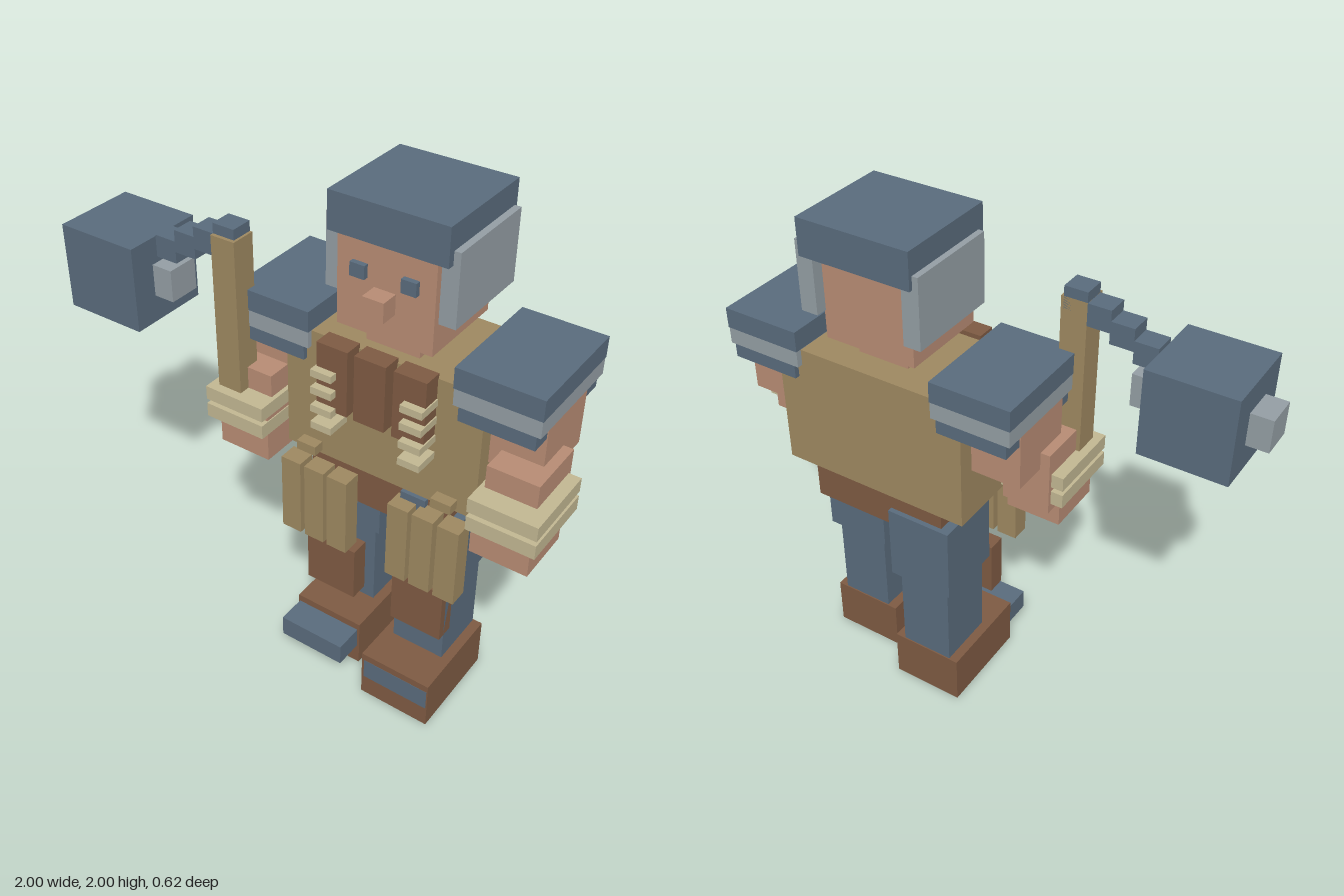
import * as THREE from 'three';

const mat = (name, color) => {
  const m = new THREE.MeshStandardMaterial({ color });
  m.name = name;
  return m;
};

export function createModel() {
  const steel = mat('blue steel', 0x5a6c7d);
  const silver = mat('light steel', 0x959fa5);
  const skin = mat('skin', 0xb98d75);
  const tan = mat('tan cloth', 0x9f8961);
  const leather = mat('brown leather', 0x7f5b43);
  const cream = mat('cream wrap', 0xc3b893);
  const model = new THREE.Group();
  model.name = 'blockWarrior';

  // Axis-aligned block given by its ranges on x, y and z
  const block = (name, m, [x0, x1], [y0, y1], [z0, z1]) => {
    const mesh = new THREE.Mesh(new THREE.BoxGeometry(x1 - x0, y1 - y0, z1 - z0), m);
    mesh.position.set((x0 + x1) / 2, (y0 + y1) / 2, (z0 + z1) / 2);
    mesh.name = name;
    model.add(mesh);
  };

  // The body's mirror plane lies at x = MID because the flail reaches out to one side
  const MID = 0.325;
  const pair = (name, m, [x0, x1], y, z, rightShift = 0) => {
    block('left' + name, m, [x0, x1], y, z);
    block('right' + name, m, [2 * MID - x1, 2 * MID - x0], y, z.map(v => v + rightShift));
  };

  // Head and helmet
  block('head', skin, [0.14, 0.51], [1.53, 1.91], [-0.25, 0.11]);
  block('neck', skin, [0.22, 0.43], [1.44, 1.55], [-0.18, 0.05]);
  block('nose', skin, [0.283, 0.365], [1.635, 1.71], [0.1, 0.18]);
  pair('Eye', steel, [0.393, 0.45], [1.735, 1.785], [0.1, 0.13]);
  block('helmet', steel, [0.1, 0.548], [1.86, 2], [-0.31, 0.112]);
  pair('EarFlap', silver, [0.505, 0.573], [1.64, 1.91], [-0.295, 0.085]);

  // Torso, vest and ribs
  block('torso', tan, [-0.065, 0.715], [0.955, 1.462], [-0.285, 0.115]);
  block('pelvis', leather, [0.04, 0.61], [0.8, 0.956], [-0.265, 0.11]);
  block('vestCentre', leather, [0.262, 0.385], [1.22, 1.48], [0.11, 0.185]);
  pair('VestStrap', leather, [0.415, 0.54], [1.22, 1.48], [0.11, 0.185]);
  for (const y of [1.37, 1.3, 1.225, 1.155]) {
    pair('VestClasp', cream, [0.46, 0.545], [y - 0.014, y + 0.014], [0.11, 0.215]);
  }

  // Belt pouches hanging in front of the hips
  for (const x of [0.412, 0.512, 0.614]) {
    pair('Pouch', tan, [x, x + 0.084], [0.6, 0.925], [0.11, 0.185]);
  }
  pair('PouchBuckle', tan, [0.565, 0.645], [0.97, 1.008], [0.1, 0.16]);
  pair('HipJoint', steel, [0.43, 0.53], [0.85, 0.954], [0.03, 0.13], -0.115);

  // Arms and stacked shoulder plates
  pair('UpperArm', skin, [0.712, 0.912], [1.165, 1.42], [-0.22, 0.055]);
  pair('Forearm', skin, [0.76, 0.95], [0.98, 1.235], [-0.085, 0.155]);
  pair('Hand', skin, [0.747, 0.965], [0.895, 1.09], [-0.03, 0.2]);
  for (const y of [1.015, 1.09]) {
    pair('Bracer', cream, [0.743, 0.997], [y, y + 0.056], [-0.07, 0.237]);
  }
  pair('ShoulderTop', steel, [0.608, 0.925], [1.465, 1.545], [-0.31, 0.138]);
  pair('ShoulderBand', silver, [0.61, 0.923], [1.4, 1.465], [-0.308, 0.136]);
  pair('ShoulderBase', steel, [0.63, 0.908], [1.345, 1.4], [-0.305, 0.134]);

  // Legs: the right one is a step behind the left
  const STEP = -0.115;
  pair('Thigh', steel, [0.385, 0.65], [0.57, 0.88], [-0.17, 0.11], STEP);
  pair('Shin', steel, [0.41, 0.625], [0.2, 0.575], [-0.145, 0.095], STEP);
  pair('Boot', leather, [0.37, 0.663], [0, 0.205], [-0.15, 0.253], STEP);
  pair('KneePad', leather, [0.41, 0.625], [0.325, 0.557], [0.05, 0.125]);
  pair('ToeCap', steel, [0.38, 0.658], [0.087, 0.175], [0.13, 0.254]);

  // Flail: handle, stepped chain and head with studs
  block('flailHandle', tan, [-0.315, -0.215], [1.1, 1.752], [0.1, 0.2]);
  [[-0.315, 1.705], [-0.404, 1.665], [-0.492, 1.625], [-0.582, 1.58]].forEach(([x, y]) =>
    block('flailChainLink', steel, [x, x + 0.09], [y, y + 0.086], [0.1, 0.186]));
  block('flailHead', steel, [-0.918, -0.587], [1.325, 1.657], [-0.02, 0.307]);
  block('flailStuds', silver, [-1, -0.503], [1.43, 1.555], [0.08, 0.208]);

  return model;
}
